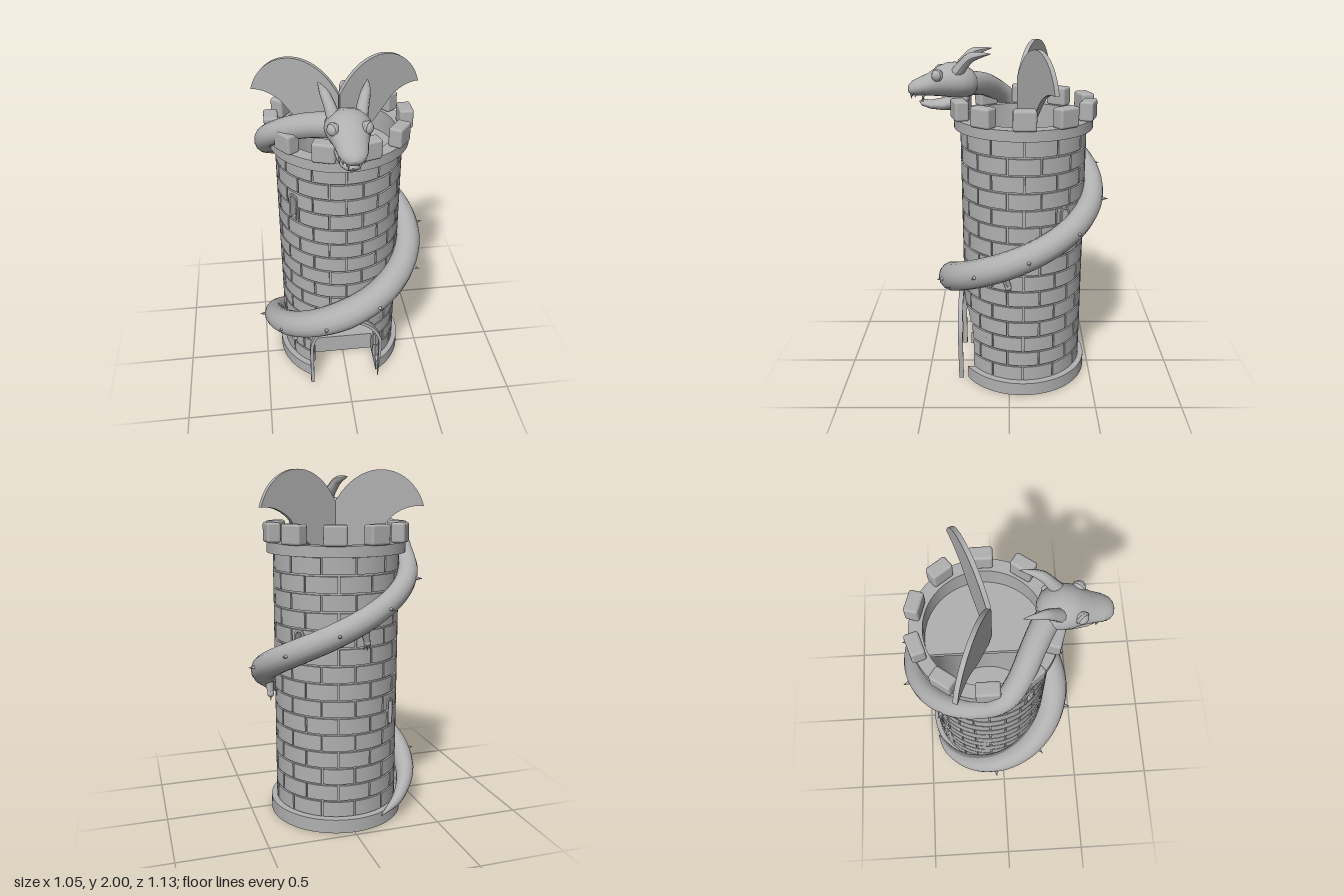
import * as THREE from 'three';
import { mergeGeometries, toCreasedNormals } from 'three/addons/utils/BufferGeometryUtils.js';
import { RoundedBoxGeometry } from 'three/addons/geometries/RoundedBoxGeometry.js';

const CX = -0.01, CZ = -0.08, STEP = Math.PI / 6;
const rad = THREE.MathUtils.degToRad;

// Openings in the wall: azimuth (from +z towards +x), height range, half width by height
const doorHalf = y => (y < 0.29 ? 0.2 : 0.2 * Math.sqrt(Math.max(0, 1 - ((y - 0.29) / 0.2) ** 2)));
const windows = [[-51, 1.18, 1.33], [129, 1.0, 1.15], [221, 0.58, 0.73]];
const openings = [
  { at: 0, y0: 0, y1: 0.49, half: doorHalf },
  ...windows.map(([a, y0, y1]) => ({ at: rad(a), y0, y1, half: () => 0.024 })),
];
const cuts = [...new Set([0.29, 0.33, 0.37, 0.41, 0.44, 0.465, 0.48, 0.49, ...windows.flatMap(w => [w[1], w[2]])])];

// Linear lookup in a table of [key, value] pairs
function lookup(table, k) {
  let i = 1;
  while (i < table.length - 1 && table[i][0] < k) i++;
  const [a, b] = [table[i - 1], table[i]];
  return THREE.MathUtils.mapLinear(THREE.MathUtils.clamp(k, a[0], b[0]), a[0], b[0], a[1], b[1]);
}

// Curved block between two radii, two azimuths and two heights
function arcBlock(r0, r1, a0, a1, y0, y1) {
  const s = new THREE.Shape(), p = a0 - Math.PI / 2, q = a1 - Math.PI / 2;
  s.absarc(0, 0, r1, p, q, false);
  s.absarc(0, 0, r0, q, p, true);
  const g = new THREE.ExtrudeGeometry(s, {
    depth: y1 - y0, bevelEnabled: false, curveSegments: Math.max(1, Math.ceil((a1 - a0) / rad(7.5))),
  });
  return g.rotateX(-Math.PI / 2).translate(0, y0, 0);
}

// Curved block with the openings taken out
function pierced(out, r0, r1, a0, a1, y0, y1) {
  const ys = [y0, ...cuts.filter(c => c > y0 && c < y1), y1].sort((a, b) => a - b);
  for (let i = 0; i + 1 < ys.length; i++) {
    let spans = [[a0, a1]];
    const mid = (ys[i] + ys[i + 1]) / 2;
    for (const o of openings) {
      if (mid < o.y0 || mid > o.y1) continue;
      const h = Math.asin(o.half(mid) / r1);
      for (const turn of [-1, 0, 1]) {
        const at = o.at + turn * 2 * Math.PI;
        spans = spans.flatMap(([s, e]) => [[s, Math.min(e, at - h)], [Math.max(s, at + h), e]])
          .filter(([s, e]) => e - s > 0.004);
      }
    }
    for (const [s, e] of spans) out.push(arcBlock(r0, r1, s, e, ys[i], ys[i + 1]));
  }
}

// Tube along a curve whose radius follows a table
function taperTube(curve, n, sides, table) {
  const g = new THREE.TubeGeometry(curve, n, 1, sides, false), p = g.attributes.position, v = new THREE.Vector3();
  for (let i = 0; i < p.count; i++) {
    const u = Math.floor(i / (sides + 1)) / n, c = curve.getPointAt(u);
    v.fromBufferAttribute(p, i).sub(c).multiplyScalar(lookup(table, u)).add(c);
    p.setXYZ(i, v.x, v.y, v.z);
  }
  g.computeVertexNormals();
  return g;
}

// Skin over oval sections [z, centre height, half width, half height]
function loft(sections, sides = 24) {
  const pos = [], idx = [];
  sections.forEach(([z, cy, rx, ry], i) => {
    for (let j = 0; j < sides; j++) {
      const a = (j / sides) * 2 * Math.PI;
      pos.push(rx * Math.cos(a), cy + ry * Math.sin(a), z);
      if (i + 1 === sections.length) continue;
      const k = (j + 1) % sides, A = i * sides, B = A + sides;
      idx.push(A + j, A + k, B + j, A + k, B + k, B + j);
    }
  });
  const g = new THREE.BufferGeometry();
  g.setAttribute('position', new THREE.Float32BufferAttribute(pos, 3));
  g.setIndex(idx);
  g.computeVertexNormals();
  return g;
}

export function createModel() {
  const stone = new THREE.MeshStandardMaterial({ color: 0xb0b0b0, side: THREE.DoubleSide });
  stone.name = 'grey stone';
  const model = new THREE.Group(), tower = new THREE.Group(), dragon = new THREE.Group(), head = new THREE.Group();
  tower.name = 'tower'; dragon.name = 'dragon'; head.name = 'head'; model.name = 'dragonTower';
  tower.position.set(CX, 0, CZ);
  head.position.x = CX;
  model.add(tower, dragon);
  dragon.add(head);
  const add = (parent, name, geo) => {
    const m = new THREE.Mesh(geo, stone);
    m.name = name;
    parent.add(m);
    return m;
  };
  // Cone from a base point along a direction
  const spike = (parent, name, base, dir, r, h) => {
    const m = add(parent, name, new THREE.ConeGeometry(r, h, 8).translate(0, h / 2, 0));
    m.position.copy(base);
    m.quaternion.setFromUnitVectors(new THREE.Vector3(0, 1, 0), dir.clone().normalize());
  };

  // Wall, rim and staggered bricks
  const wall = [], bricks = [], rim = [];
  for (let k = 0; k < 12; k++) {
    const a = k * STEP;
    pierced(wall, 0.32, 0.347, a, a + STEP, 0.08, 1.56);
    rim.push(arcBlock(0.32, 0.393, a, a + STEP, 1.55, 1.61));
    for (let row = 0; row < 15; row++) {
      const s = a + (row % 2) * STEP / 2, y = 0.08 + row * 0.098;
      pierced(bricks, 0.335, 0.358, s + 0.014, s + STEP - 0.014, y + 0.005, y + 0.093);
    }
  }
  for (const [name, list] of [['wall', wall], ['bricks', bricks], ['rim', rim]])
    add(tower, name, toCreasedNormals(mergeGeometries(list), 0.5));

  // Base and ground floor, notched for the doorway
  for (const [name, r, y0, y1] of [['base', 0.39, 0, 0.08], ['groundFloor', 0.335, 0.08, 0.13]]) {
    const s = new THREE.Shape(), h = Math.asin(0.2 / r);
    s.absarc(0, 0, r, h - Math.PI / 2, 1.5 * Math.PI - h, false);
    s.lineTo(-0.2, -0.13);
    s.lineTo(0.2, -0.13);
    const g = new THREE.ExtrudeGeometry(s, { depth: y1 - y0, bevelEnabled: false, curveSegments: 48 });
    add(tower, name, toCreasedNormals(g.rotateX(-Math.PI / 2).translate(0, y0, 0), 0.5));
  }

  // Upper floor, left open on one side
  const deck = new THREE.Shape(), da = Math.acos(-0.09 / 0.325);
  deck.absarc(0, 0, 0.325, -da, da, false);
  add(tower, 'upperFloor', new THREE.ExtrudeGeometry(deck, { depth: 0.03, bevelEnabled: false, curveSegments: 32 })
    .rotateX(-Math.PI / 2).translate(0, 1.45, 0));

  // Battlements
  for (let k = 0; k < 10; k++) {
    const a = rad(18 + 36 * k), m = add(tower, 'battlement', new RoundedBoxGeometry(0.125, 0.11, 0.078, 2, 0.014));
    m.position.set(0.371 * Math.sin(a), 1.662, 0.371 * Math.cos(a));
    m.rotation.y = a;
  }

  // Arched frames for door and windows, open at the foot
  const archFrame = (w, h, t, depth) => {
    const s = new THREE.Shape(), v = w - t;
    s.moveTo(w, 0);
    s.absarc(0, h - w, w, 0, Math.PI, false);
    s.lineTo(-w, 0);
    s.lineTo(-v, 0);
    s.absarc(0, h - w, v, Math.PI, 0, true);
    s.lineTo(v, 0);
    return toCreasedNormals(new THREE.ExtrudeGeometry(s, { depth, bevelEnabled: false, curveSegments: 20 }), 0.5);
  };
  add(tower, 'doorFrame', archFrame(0.225, 0.505, 0.02, 0.028)).position.z = 0.362;
  for (const [deg, y0, y1] of windows) {
    const a = rad(deg), m = add(tower, 'windowFrame', archFrame(0.032, y1 - y0 + 0.01, 0.012, 0.045));
    m.position.set(0.32 * Math.sin(a), y0 - 0.005, 0.32 * Math.cos(a));
    m.rotation.y = a;
  }

  // Coiled body: tail at the back, one and a bit turns, then the neck over the battlements
  const height = [[204, 0.065], [240, 0.16], [270, 0.285], [315, 0.44], [360, 0.6], [450, 0.9], [540, 1.2], [600, 1.42], [630, 1.545]];
  const reach = [[204, 0.4], [270, 0.43], [360, 0.425], [450, 0.42], [540, 0.4], [630, 0.41]];
  const onCoil = (deg, extra = 0) => {
    const a = rad(deg), r = lookup(reach, deg) + extra;
    return new THREE.Vector3(CX + r * Math.sin(a), lookup(height, deg), CZ + r * Math.cos(a));
  };
  const path = [onCoil(204)];
  for (let d = 225; d <= 630; d += 27) path.push(onCoil(d));
  for (const p of [[-0.408, 1.63, 0.01], [-0.33, 1.695, 0.08], [-0.2, 1.75, 0.15], [-0.09, 1.775, 0.21], [-0.02, 1.785, 0.26]])
    path.push(new THREE.Vector3(...p));
  const girth = [[0, 0.004], [0.03, 0.028], [0.1, 0.056], [0.2, 0.077], [0.31, 0.09], [0.5, 0.076], [0.7, 0.064], [0.84, 0.056], [0.92, 0.064], [1, 0.07]];
  add(dragon, 'body', taperTube(new THREE.CatmullRomCurve3(path), 110, 14, girth));

  // Spines along the outer side of the coil
  const bulk = [[240, 0.03], [275, 0.055], [360, 0.085], [450, 0.07], [540, 0.058], [640, 0.05]];
  for (let d = 275; d <= 630; d += 36)
    spike(dragon, 'spine', onCoil(d - 2, lookup(bulk, d) - 0.01), new THREE.Vector3(Math.sin(rad(d)), 0, Math.cos(rad(d))), 0.015, 0.05);

  // Small clawed feet gripping the wall
  for (const d of [303, 432, 545]) {
    const top = onCoil(d, -0.02), foot = onCoil(d + 5, -0.035);
    foot.y = top.y - 0.13;
    add(dragon, 'leg', taperTube(new THREE.LineCurve3(top, foot), 6, 8, [[0, 0.033], [1, 0.017]]));
    add(dragon, 'foot', new THREE.SphereGeometry(0.02, 10, 8)).position.copy(foot);
    for (const k of [-1, 0, 1]) {
      const a = rad(d + 96);
      spike(dragon, 'claw', foot, new THREE.Vector3(Math.sin(a) * k * 0.6, -1, Math.cos(a) * k * 0.6), 0.01, 0.045);
    }
  }

  // Head and lower jaw
  add(head, 'skull', loft([
    [0.175, 1.785, 0.002, 0.002], [0.18, 1.785, 0.04, 0.035], [0.205, 1.79, 0.085, 0.07], [0.25, 1.8, 0.112, 0.09],
    [0.3, 1.807, 0.12, 0.098], [0.35, 1.807, 0.113, 0.093], [0.4, 1.798, 0.096, 0.08], [0.45, 1.782, 0.083, 0.062],
    [0.5, 1.77, 0.075, 0.05], [0.54, 1.762, 0.058, 0.039], [0.56, 1.757, 0.033, 0.023], [0.567, 1.755, 0.002, 0.002]]));
  add(head, 'lowerJaw', loft([
    [0.22, 1.71, 0.002, 0.002], [0.24, 1.705, 0.06, 0.045], [0.3, 1.688, 0.075, 0.048], [0.37, 1.672, 0.066, 0.034],
    [0.44, 1.67, 0.054, 0.024], [0.49, 1.68, 0.036, 0.017], [0.505, 1.686, 0.002, 0.002]]));

  // Paired eyes, horns and teeth
  for (const s of [-1, 1]) {
    add(head, 'eye', new THREE.SphereGeometry(0.033, 16, 12)).position.set(s * 0.082, 1.842, 0.39);
    const brow = add(head, 'eyeRim', new THREE.TorusGeometry(0.029, 0.008, 8, 20));
    brow.position.set(s * 0.085, 1.843, 0.392);
    brow.rotation.y = s * 0.95;
    const horn = [[0.068, 1.85, 0.29], [0.083, 1.9, 0.25], [0.1, 1.94, 0.21], [0.114, 1.955, 0.16], [0.126, 1.963, 0.1]];
    add(head, 'horn', taperTube(new THREE.CatmullRomCurve3(horn.map(([x, y, z]) => new THREE.Vector3(s * x, y, z))),
      14, 10, [[0, 0.036], [0.55, 0.026], [0.8, 0.014], [1, 0.002]]));
    for (const [x, z, h] of [[0.028, 0.545, 0.035], [0.062, 0.475, 0.04], [0.052, 0.52, 0.022]])
      spike(head, 'upperTooth', new THREE.Vector3(s * x, 1.738, z), new THREE.Vector3(0, -1, 0), 0.009, h);
    spike(head, 'lowerTooth', new THREE.Vector3(s * 0.024, 1.685, 0.485), new THREE.Vector3(0, 1, 0), 0.008, 0.03);
  }

  // Wings: two upright fans meeting in a V
  const fan = new THREE.Shape();
  fan.moveTo(0, 1.5);
  fan.lineTo(0.06, 1.5);
  fan.lineTo(0.215, 1.62);
  fan.lineTo(0.32, 1.74);
  fan.quadraticCurveTo(0.4, 1.81, 0.5, 1.8);
  fan.bezierCurveTo(0.44, 2.02, 0.16, 2.1, 0, 1.82);
  const wingGeo = toCreasedNormals(new THREE.ExtrudeGeometry(fan, { depth: 0.025, bevelEnabled: false, curveSegments: 24 })
    .translate(0, 0, -0.0125), 0.5);
  for (const [name, turn] of [['leftWing', 0.373], ['rightWing', Math.PI - 0.373]]) {
    const wing = add(dragon, name, wingGeo);
    wing.position.set(CX, 0, -0.055);
    wing.rotation.y = turn;
  }
  return model;
}
